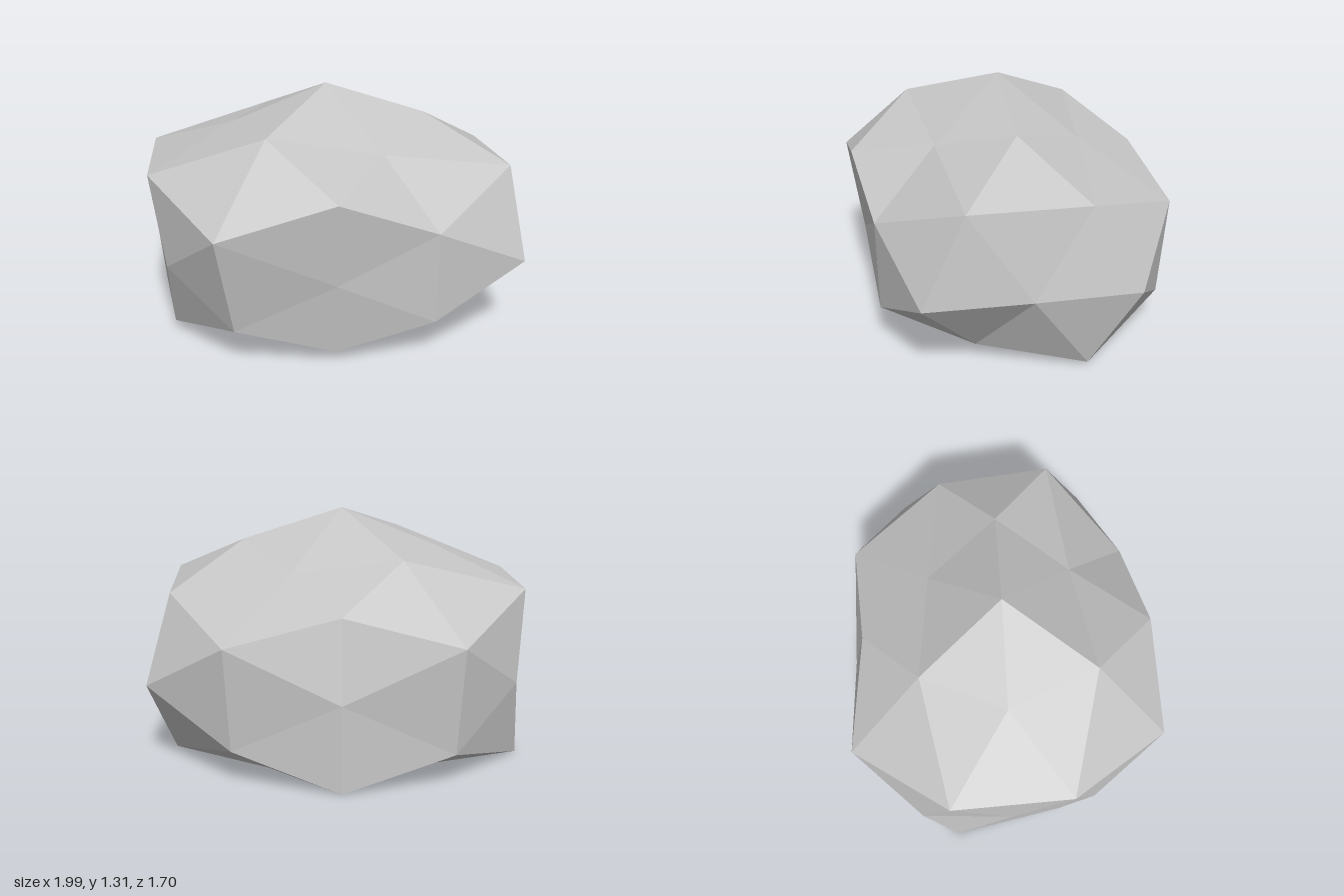
import * as THREE from 'three';

// Radius of every corner of the boulder, grouped by direction family.
// Signs run + then -, x fastest, then y, then z (axes that are zero are skipped).
const FAMILIES = [
  [[1, 0, 0], [1.02, 0.95]],
  [[0, 1, 0], [1.1, 1.0]],
  [[0, 0, 1], [0.88, 0.98]],
  [[0.526, 0.851, 0], [1.03, 0.98, 0.9, 1.0]],
  [[0, 0.526, 0.851], [1.1, 0.97, 1.025, 1.165]],
  [[0.851, 0, 0.526], [1.19, 1.015, 1.19, 1.075]],
  [[0.309, 0.809, 0.5], [0.885, 1.09, 0.88, 0.95, 0.88, 1.02, 1.25, 1.2]],
  [[0.809, 0.5, 0.309], [1.19, 1.175, 0.94, 1.06, 1.13, 1.2, 1.13, 1.187]],
  [[0.5, 0.309, 0.809], [1.03, 1.195, 1.02, 1.04, 1.155, 1.195, 1.11, 1.14]],
];

const signs = (v) => (v === 0 ? [0] : [1, -1]);

function cornerList() {
  const corners = [];
  for (const [[x, y, z], radii] of FAMILIES) {
    let i = 0;
    for (const sz of signs(z))
      for (const sy of signs(y))
        for (const sx of signs(x))
          corners.push({ dir: new THREE.Vector3(x * sx, y * sy, z * sz), radius: radii[i++] });
  }
  return corners;
}

export function createModel() {
  const group = new THREE.Group();
  group.name = 'boulder';

  const stone = new THREE.MeshStandardMaterial({ color: 0xc5c5c5, flatShading: true });
  stone.name = 'light grey stone';

  // Faceted ball, pushed in and out, squashed and cut flat at the ground
  const geometry = new THREE.IcosahedronGeometry(1, 1);
  const corners = cornerList();
  const centre = new THREE.Vector3(-0.024, 0.46, 0.013);
  const squash = new THREE.Vector3(1, 0.775, 0.87);
  const pos = geometry.attributes.position;
  const p = new THREE.Vector3();
  for (let i = 0; i < pos.count; i++) {
    p.fromBufferAttribute(pos, i);
    const corner = corners.find((c) => c.dir.distanceTo(p) < 0.1);
    p.multiplyScalar(corner.radius).multiply(squash).add(centre);
    pos.setXYZ(i, p.x, Math.max(p.y, 0), p.z);
  }
  geometry.computeVertexNormals();

  const rock = new THREE.Mesh(geometry, stone);
  rock.name = 'rock';
  group.add(rock);
  return group;
}
